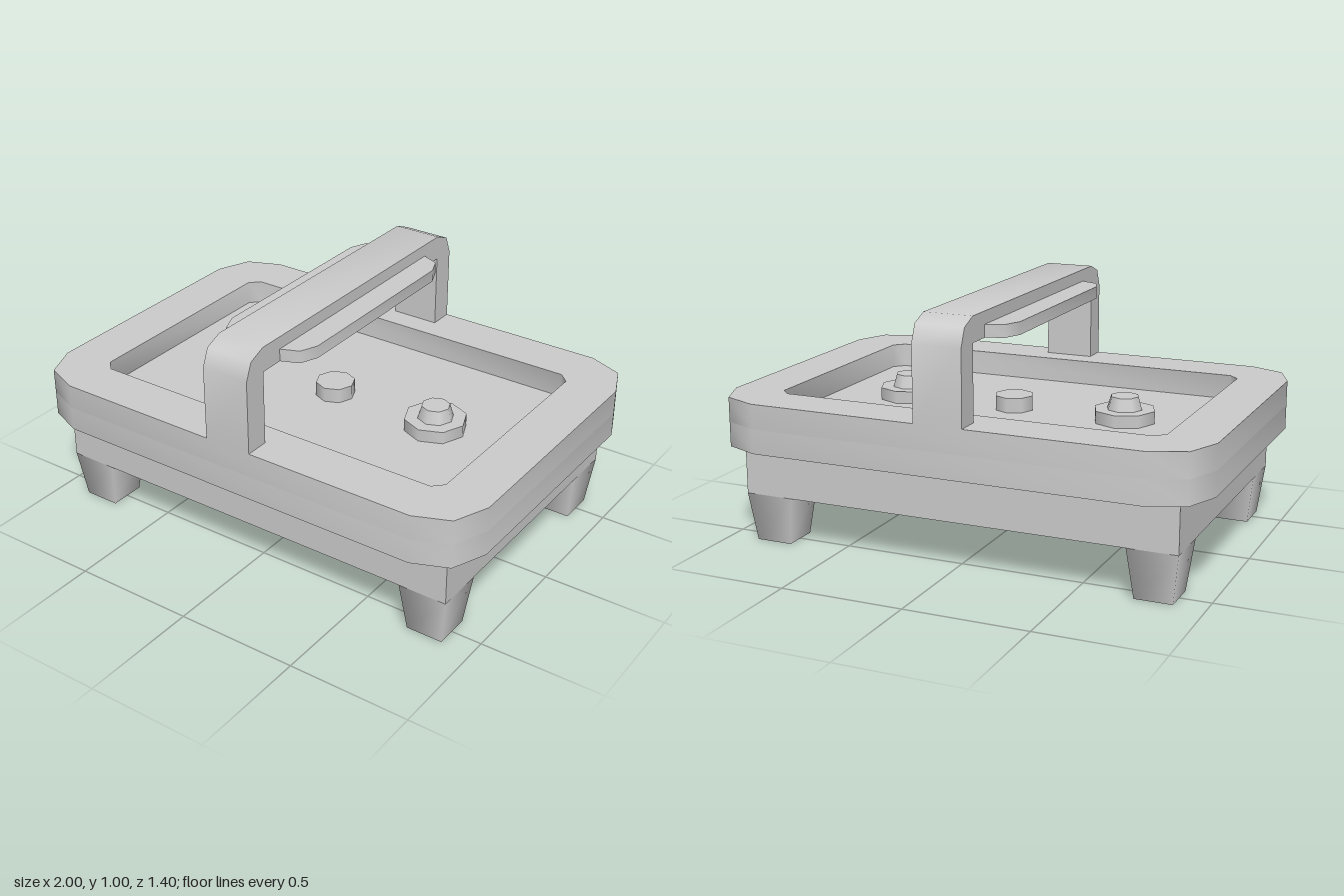
import * as THREE from 'three';
import { toCreasedNormals } from 'three/addons/utils/BufferGeometryUtils.js';

const material = new THREE.MeshStandardMaterial({ color: 0xcccccc });

function add(parent, name, geometry, x = 0, y = 0, z = 0) {
  const mesh = new THREE.Mesh(geometry, material);
  mesh.name = name;
  mesh.position.set(x, y, z);
  parent.add(mesh);
  return mesh;
}

// Corner points of a rectangle whose corners are rounded with n segments
function roundedPoints(halfX, halfY, r, n) {
  const points = [];
  for (let c = 0; c < 4; c++) {
    const sx = c === 0 || c === 3 ? 1 : -1;
    const sy = c < 2 ? 1 : -1;
    for (let i = 0; i <= n; i++) {
      const a = (c + i / n) * Math.PI / 2;
      points.push(new THREE.Vector2(
        sx * (halfX - r) + r * Math.cos(a),
        sy * (halfY - r) + r * Math.sin(a)));
    }
  }
  return points;
}

// Extrude with smooth corners and sharp rims
function extrude(shape, depth) {
  const geometry = new THREE.ExtrudeGeometry(shape, { depth, bevelEnabled: false });
  return toCreasedNormals(geometry, THREE.MathUtils.degToRad(50));
}

// Horizontal slab rising from y = 0
const slab = (shape, height) => extrude(shape, height).rotateX(-Math.PI / 2);

export function createModel() {
  const model = new THREE.Group();
  model.name = 'tray';

  // Lower body
  add(model, 'base', new THREE.BoxGeometry(1.8, 0.2, 1.2), 0, 0.3, 0);

  // Upper plate: solid floor with a raised rim around the recess
  const outline = roundedPoints(1, 0.7, 0.2, 2);
  add(model, 'plate', slab(new THREE.Shape(outline), 0.1), 0, 0.4, 0);
  const rim = new THREE.Shape(outline);
  rim.holes.push(new THREE.Path(roundedPoints(0.8, 0.5, 0.04, 1)));
  add(model, 'rim', slab(rim, 0.1), 0, 0.5, 0);

  // Tapered square feet
  const foot = new THREE.CylinderGeometry(0.1 * Math.SQRT2, 0.075 * Math.SQRT2, 0.2, 4)
    .rotateY(Math.PI / 4);
  for (const x of [-0.8, 0.8]) {
    for (const z of [-0.5, 0.5]) add(model, 'foot', foot, x, 0.1, z);
  }

  // Two studs and a low centre button inside the recess
  for (const x of [-0.475, 0.475]) {
    const stud = new THREE.Group();
    stud.name = 'stud';
    stud.position.set(x, 0.5, 0);
    add(stud, 'studFlange', new THREE.CylinderGeometry(0.125, 0.125, 0.05, 8), 0, 0.025, 0);
    add(stud, 'studTip', new THREE.CylinderGeometry(0.057, 0.072, 0.052, 8), 0, 0.076, 0);
    model.add(stud);
  }
  add(model, 'centreButton', new THREE.CylinderGeometry(0.08, 0.08, 0.06, 8), 0, 0.53, 0);

  // Arched handle, drawn in z and y and extruded across x
  const c = 0.1 * Math.SQRT1_2;
  const half = [[0.6, 0.6], [0.7, 0.6], [0.7, 0.9], [0.6 + c, 0.9 + c], [0.6, 1]];
  const arch = [...half, ...half.map(([z, y]) => [-z, y]).reverse(), [-0.6, 0.9], [0.6, 0.9]];
  const handle = extrude(new THREE.Shape(arch.map(([z, y]) => new THREE.Vector2(z, y))), 0.2)
    .translate(0, 0, -0.1).rotateY(Math.PI / 2);
  add(model, 'handle', handle);

  // Flat grip through the top bar
  add(model, 'grip', slab(new THREE.Shape(roundedPoints(0.2, 0.5, 0.1, 2)), 0.05), 0, 0.9, 0);

  return model;
}
